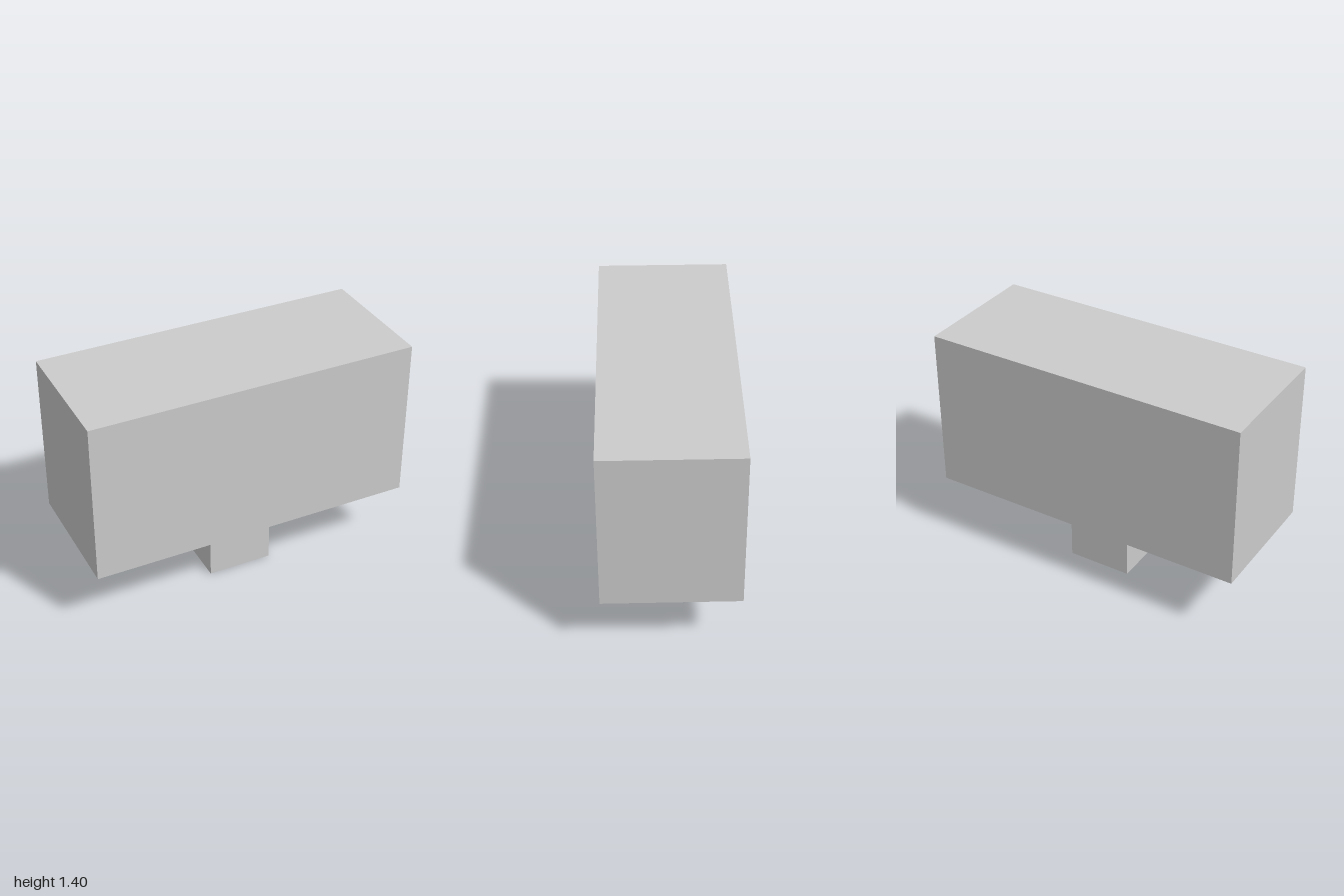
import * as THREE from 'three';

const material = new THREE.MeshStandardMaterial({ color: 0xcccccc, flatShading: true });

// Box standing with its underside at height y
function block(name, width, height, depth, y) {
  const mesh = new THREE.Mesh(new THREE.BoxGeometry(width, height, depth), material);
  mesh.name = name;
  mesh.position.y = y + height / 2;
  return mesh;
}

export function createModel() {
  const model = new THREE.Group();
  model.name = 'blockOnPost';
  model.add(
    block('post', 0.4, 0.4, 0.4, 0), // short square foot
    block('body', 2, 1, 0.8, 0.4), // large block resting on the post
  );
  return model;
}
